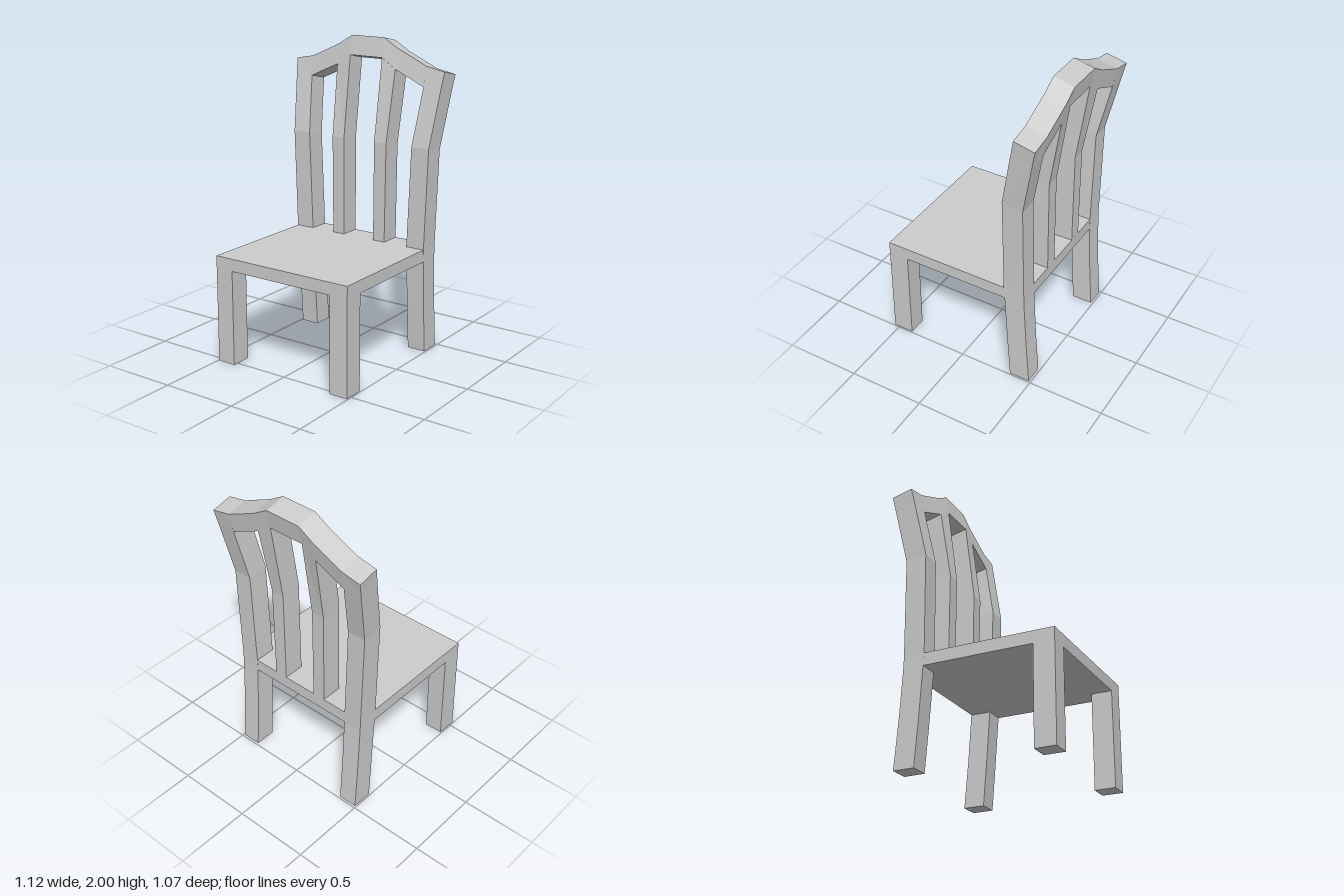
import * as THREE from 'three';

const material = new THREE.MeshStandardMaterial({ color: 0xcccccc, flatShading: true });

// Skin a row of four-cornered sections; corners run counterclockwise seen from the far end.
function loft(sections, mirrored = false) {
  const index = [];
  const quad = (a, b, c, d) => index.push(a, b, c, a, c, d);
  for (let s = 0; s < sections.length - 1; s++) {
    for (let i = 0; i < 4; i++) {
      const j = (i + 1) % 4;
      quad(s * 4 + i, s * 4 + j, s * 4 + 4 + j, s * 4 + 4 + i);
    }
  }
  const end = (sections.length - 1) * 4;
  quad(3, 2, 1, 0);
  quad(end, end + 1, end + 2, end + 3);
  if (mirrored) index.reverse();
  const points = sections.flat().map(([x, y, z]) => [mirrored ? -x : x, y, z]);
  const indexed = new THREE.BufferGeometry();
  indexed.setAttribute('position', new THREE.Float32BufferAttribute(points.flat(), 3));
  indexed.setIndex(index);
  const geometry = indexed.toNonIndexed();
  geometry.computeVertexNormals();
  return geometry;
}

// Section of an upright: inner and outer x and y, front and back z, drop of the back edge.
const section = ([xi, yi, xo, yo, zf, zb, drop]) => [
  [xi, yi, zf], [xo, yo, zf], [xo, yo - drop, zb], [xi, yi - drop, zb],
];

export function createModel() {
  const chair = new THREE.Group();
  chair.name = 'chair';
  const add = (name, geometry, x = 0, y = 0, z = 0) => {
    const mesh = new THREE.Mesh(geometry, material);
    mesh.name = name;
    mesh.position.set(x, y, z);
    chair.add(mesh);
  };

  // Seat slab
  add('seat', new THREE.BoxGeometry(0.986, 0.08, 0.978), 0, 0.66, 0.046);

  // Back leg and outer post in one bent upright
  const post = [
    [0.367, 0, 0.491, 0, -0.35, -0.486, 0],
    [0.367, 0.3, 0.491, 0.3, -0.329, -0.463, 0],
    [0.367, 0.62, 0.493, 0.62, -0.31, -0.445, 0],
    [0.368, 0.7, 0.494, 0.7, -0.305, -0.443, 0],
    [0.392, 1.35, 0.516, 1.35, -0.304, -0.44, 0.02],
    [0.425, 1.715, 0.549, 1.715, -0.378, -0.513, 0.03],
    [0.43, 1.845, 0.56, 1.82, -0.4, -0.535, 0.03],
  ].map(section);

  // Inner slat, bent like the posts
  const slat = [
    [0.115, 0.69, 0.2, 0.69, -0.305, -0.443, 0],
    [0.116, 1.35, 0.206, 1.35, -0.304, -0.44, 0.02],
    [0.12, 1.875, 0.22, 1.81, -0.377, -0.512, 0.03],
  ].map(section);

  for (const [side, mirrored] of [['left', false], ['right', true]]) {
    const sign = mirrored ? -1 : 1;
    add(side + 'FrontLeg', new THREE.BoxGeometry(0.124, 0.62, 0.134), sign * 0.431, 0.31, 0.468);
    add(side + 'BackPost', loft(post, mirrored));
    add(side + 'Slat', loft(slat, mirrored));
  }

  // Arched top rail: x, top y, bottom y
  const half = [[0.12, 2, 1.875], [0.22, 1.94, 1.81], [0.43, 1.845, 1.715]];
  const stations = [...half.map(([x, t, b]) => [-x, t, b]).reverse(), ...half];
  add('topRail', loft(stations.map(([x, top, bottom]) => [
    [x, bottom, -0.378], [x, bottom - 0.03, -0.513], [x, top - 0.03, -0.535], [x, top, -0.4],
  ])));

  return chair;
}
